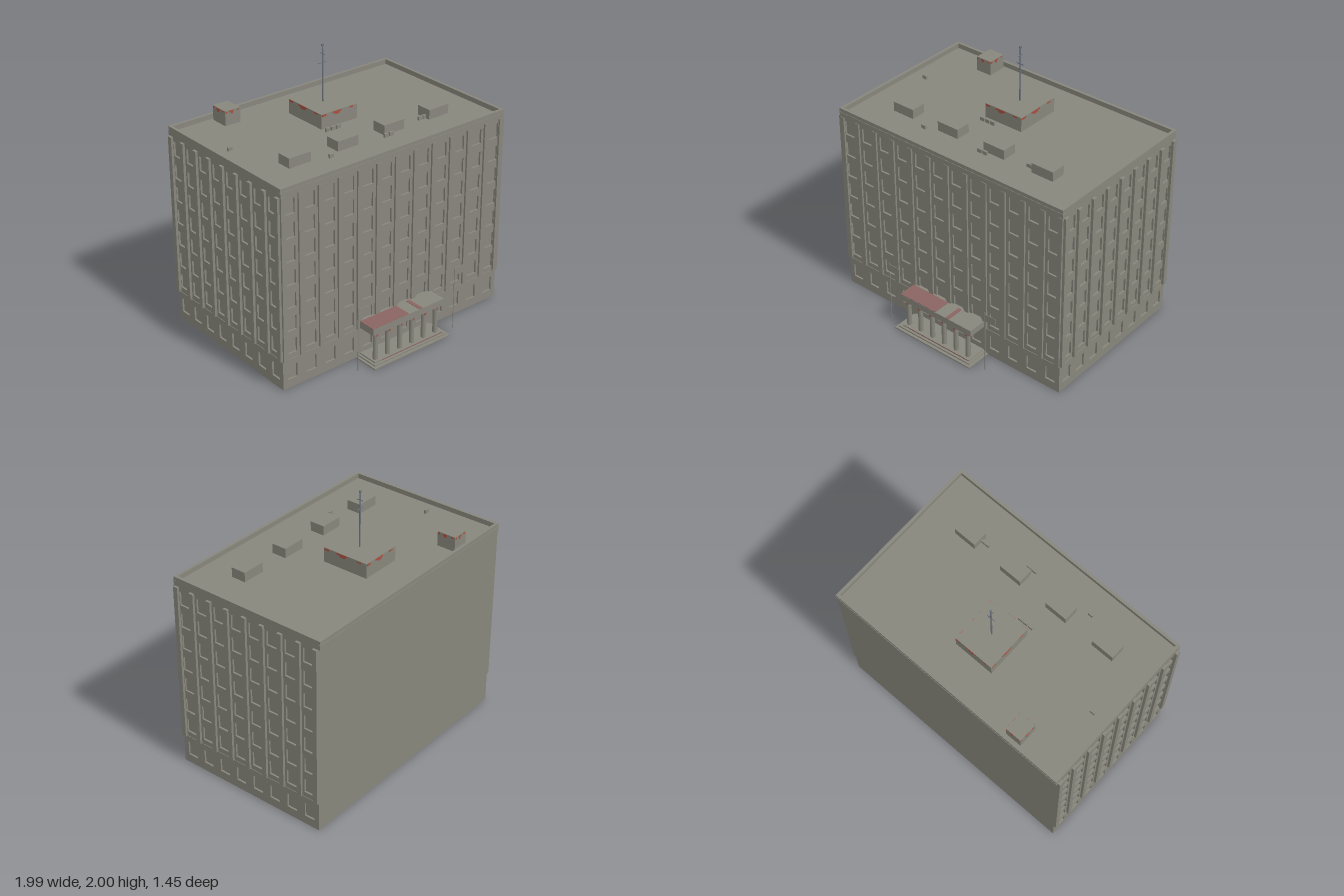
import * as THREE from 'three';
import { mergeGeometries } from 'three/addons/utils/BufferGeometryUtils.js';

export function createModel() {
  const root = new THREE.Group();
  root.name = 'officeBlock';
  const mat = (name, color) => {
    const m = new THREE.MeshStandardMaterial({ color, side: THREE.DoubleSide });
    m.name = name;
    return m;
  };
  const concrete = mat('concrete', 0x88867c);
  const rust = mat('rustRed', 0xa8503f);
  const canopyRed = mat('fadedRed', 0x8a6461);
  const steel = mat('steel', 0x6c747e);

  const add = (parent, name, geo, material = concrete) => {
    const m = new THREE.Mesh(geo, material);
    m.name = name;
    parent.add(m);
    return m;
  };
  // Box geometry given by its limits
  const span = (x0, x1, y0, y1, z0, z1) =>
    new THREE.BoxGeometry(x1 - x0, y1 - y0, z1 - z0)
      .translate((x0 + x1) / 2, (y0 + y1) / 2, (z0 + z1) / 2);

  const W = 0.978, FRONT = 0.52, BACK = -0.705, MID = (FRONT + BACK) / 2;
  const WALL_TOP = 1.44, ROOF = 1.468, TOP = 1.505;

  // Wall with a grid of recessed windows and pilasters; outer face at local z = 0
  const windowWall = (name, width, cols, pitch, relief) => {
    const g = new THREE.Group();
    g.name = name;
    const rect = (P, x0, x1, y0, y1) => {
      const p = new P();
      p.moveTo(x0, y0); p.lineTo(x1, y0); p.lineTo(x1, y1); p.lineTo(x0, y1); p.closePath();
      return p;
    };
    const shape = rect(THREE.Shape, -width / 2, width / 2, 0, WALL_TOP);
    const panes = [], piers = [];
    const rows = [0.12];
    for (let r = 0; r < 7; r++) rows.push(0.32 + r * 0.1725);
    for (let c = 0; c < cols; c++) {
      const x = (c - (cols - 1) / 2) * pitch;
      for (const y of rows) {
        shape.holes.push(rect(THREE.Path, x - 0.041, x + 0.041, y - 0.054, y + 0.054));
        panes.push(span(x - 0.041, x + 0.041, y - 0.054, y + 0.054, -0.02, -0.014));
      }
    }
    for (let c = 0; c <= cols; c++) {
      const x = THREE.MathUtils.clamp((c - cols / 2) * pitch, -width / 2 + 0.018, width / 2 - 0.018);
      piers.push(span(x - 0.018, x + 0.018, 0.228, WALL_TOP, -0.002, relief));
    }
    add(g, 'wallFace', new THREE.ExtrudeGeometry(shape, { depth: 0.02, bevelEnabled: false }).translate(0, 0, -0.02));
    add(g, 'windowPanes', mergeGeometries(panes));
    add(g, 'pilasters', mergeGeometries(piers));
    // Thin string course above the ground floor
    add(g, 'stringCourse', span(-width / 2, width / 2, 0.217, 0.228, -0.002, 0.004));
    root.add(g);
    return g;
  };
  windowWall('frontWall', 2 * W, 12, 0.1636, 0.014).position.z = FRONT;
  for (const s of [1, -1]) {
    const side = windowWall(s > 0 ? 'leftWall' : 'rightWall', FRONT - BACK, 8, 0.152, 0.019);
    side.position.set(s * W, 0, MID);
    side.rotation.y = s * Math.PI / 2;
  }
  add(root, 'backWall', span(-W, W, 0, WALL_TOP, BACK, BACK + 0.015));

  // Cornice, roof deck and parapet
  const z0 = -0.722, z1 = 0.53;
  add(root, 'roofDeck', span(-W, W, WALL_TOP, ROOF, z0, z1));
  const t = 0.022;
  add(root, 'parapet', mergeGeometries([
    span(-W, W, ROOF, TOP, z1 - t, z1), span(-W, W, ROOF, TOP, z0, z0 + t),
    span(-W, -W + t, ROOF, TOP, z0 + t, z1 - t), span(W - t, W, ROOF, TOP, z0 + t, z1 - t)]));
  add(root, 'parapetCap', mergeGeometries([
    span(-W - 0.003, W + 0.003, 1.474, 1.478, z1 - t, z1 + 0.003),
    span(-W - 0.003, W + 0.003, 1.474, 1.478, z0 - 0.003, z0 + t)]));

  // Rooftop rooms with rust stains below their top edges
  const roofRoom = (name, x0, x1, za, zb) => {
    const h = 1.578, g = new THREE.Group();
    g.name = name;
    add(g, 'room', span(x0, x1, ROOF, h, za, zb));
    const stains = [];
    const e = 0.002, w = x1 - x0, d = zb - za;
    for (const [a, b, drop] of [[0.02, 0.13, 0.018], [0.3, 0.55, 0.016], [0.37, 0.5, 0.028], [0.78, 0.88, 0.014]]) {
      stains.push(span(x0 + a * w, x0 + b * w, h - drop, h - 0.003, zb, zb + e));
      stains.push(span(x1 - b * w, x1 - a * w, h - drop, h - 0.003, za - e, za));
      stains.push(span(x1, x1 + e, h - drop, h - 0.003, zb - b * d, zb - a * d));
      stains.push(span(x0 - e, x0, h - drop, h - 0.003, za + a * d, za + b * d));
    }
    add(g, 'rustStains', mergeGeometries(stains), rust);
    root.add(g);
  };
  roofRoom('penthouse', -0.163, 0.152, -0.435, -0.073);
  roofRoom('stairHouse', -0.635, -0.508, -0.68, -0.535);

  // Ventilation units and small vents
  for (const x of [-0.617, -0.21, 0.195, 0.604])
    add(root, 'ventilationUnit', span(x - 0.089, x + 0.089, ROOF, 1.54, 0.155, 0.27));
  for (const [x, z] of [[-0.147, -0.024], [-0.102, -0.024], [-0.058, -0.024], [-0.39, 0.31],
    [0.1, 0.297], [0.145, 0.297], [0.468, 0.23], [0.507, 0.23], [-0.84, -0.2]])
    add(root, 'smallVent', span(x - 0.018, x + 0.018, ROOF, 1.495, z - 0.008, z + 0.008));

  // Antenna mast with two crossbars
  const mast = new THREE.Group();
  mast.name = 'antenna';
  mast.position.set(-0.006, 0, -0.253);
  add(mast, 'mast', new THREE.CylinderGeometry(0.005, 0.006, 0.412, 8).translate(0, 1.784, 0), steel);
  add(mast, 'mastTip', new THREE.CylinderGeometry(0.009, 0.009, 0.014, 8).translate(0, 1.993, 0), steel);
  add(mast, 'lowerCrossbar', span(-0.032, 0.032, 1.862, 1.867, -0.003, 0.003), steel);
  add(mast, 'upperCrossbar', span(-0.003, 0.003, 1.928, 1.932, -0.023, 0.023), steel);
  root.add(mast);

  // Entrance steps
  [[0.35, 0.722], [0.33, 0.7], [0.312, 0.68]].forEach(([x, z], i) =>
    add(root, 'entranceStep', span(-x, x, i * 0.009, (i + 1) * 0.009, FRONT - 0.01, z)));
  add(root, 'topStepEdge', span(-0.25, 0.312, 0.019, 0.026, 0.68, 0.682), canopyRed);

  // Canopy with faded red panels on top
  add(root, 'canopy', span(-0.325, 0.325, 0.24, 0.29, FRONT - 0.01, 0.675));
  add(root, 'canopyPanel', span(-0.325, 0, 0.29, 0.293, 0.535, 0.673), canopyRed);
  add(root, 'canopyStripe', span(0.095, 0.125, 0.29, 0.293, 0.535, 0.673), canopyRed);

  // Row of entrance columns
  for (let i = 0; i < 6; i++) {
    const x = -0.278 + i * 0.1105;
    add(root, 'column', new THREE.CylinderGeometry(0.018, 0.018, 0.213, 16).translate(x, 0.1335, 0.643));
    add(root, 'columnStain', span(x - 0.006, x + 0.008, 0.212, 0.232, 0.66, 0.662), rust);
  }

  // Poles with thin boards either side of the entrance
  for (const x of [-0.442, 0.438]) {
    add(root, 'signPole', new THREE.CylinderGeometry(0.003, 0.003, 0.5, 8).translate(x, 0.25, 0.655));
    add(root, 'signBoard', span(x, x + 0.091, 0.428, 0.486, 0.653, 0.657));
  }
  return root;
}
